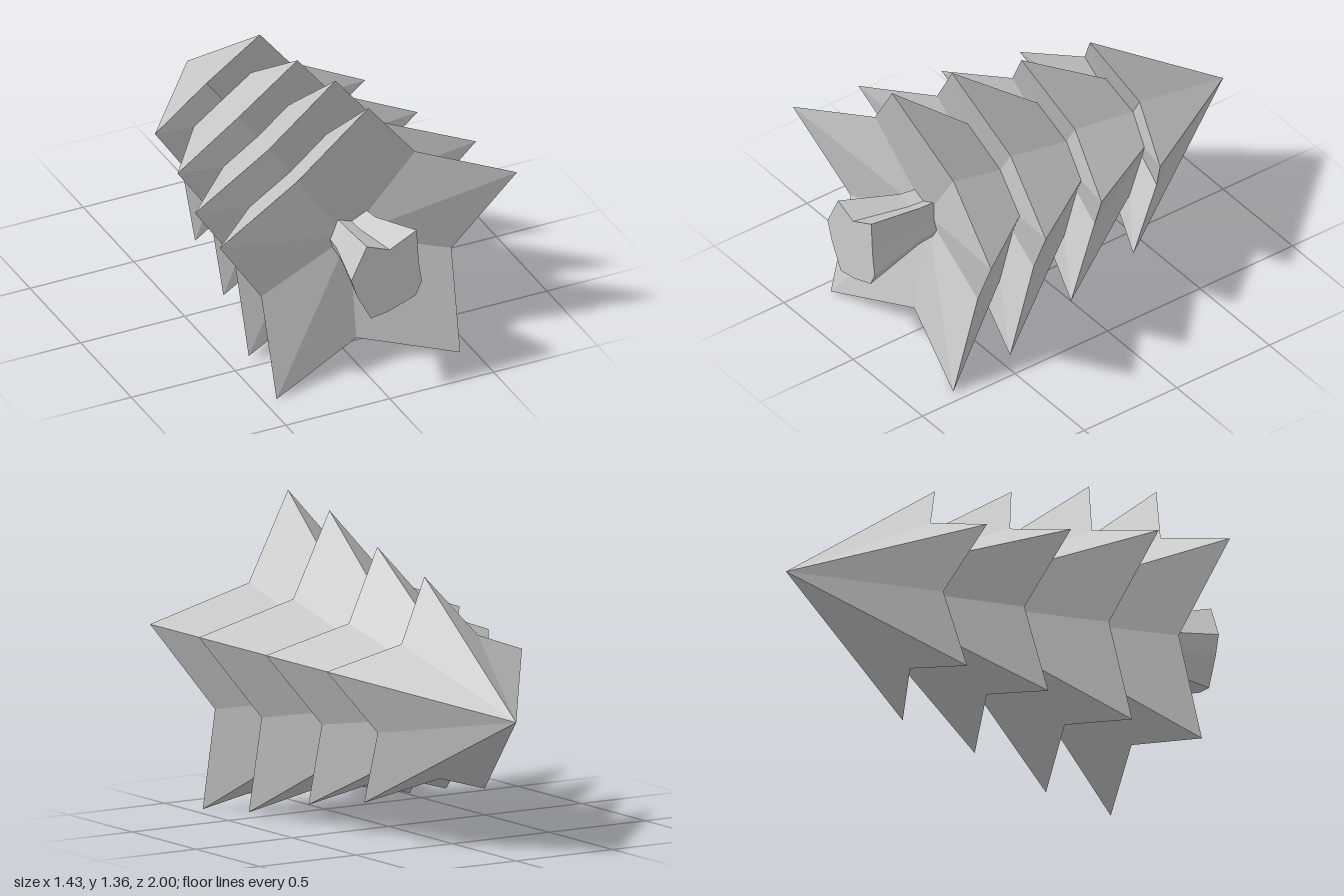
import * as THREE from 'three';

const AXIS_Y = 0.612; // height of the axis of the lying tree

// Flat-shaded mesh from a list of triangles of [x, y, z] points
function facetedMesh(name, triangles) {
  const geometry = new THREE.BufferGeometry();
  geometry.setAttribute('position', new THREE.Float32BufferAttribute(triangles.flat(2), 3));
  geometry.computeVertexNormals();
  const material = new THREE.MeshStandardMaterial({ color: 0xcccccc, flatShading: true });
  const mesh = new THREE.Mesh(geometry, material);
  mesh.name = name;
  return mesh;
}

// Triangles joining a closed ring to one point
function fan(ring, point, flip) {
  return ring.map((a, i) => {
    const b = ring[(i + 1) % ring.length];
    return flip ? [point, b, a] : [point, a, b];
  });
}

// Five-pointed star cone: drooping tips, folded underside
function branchTier(name, { apex, tipZ, tipR, innerZ, innerR }) {
  const ring = [];
  for (let i = 0; i < 10; i++) {
    const angle = Math.PI / 2 + (i * Math.PI) / 5;
    const r = i % 2 ? innerR : tipR;
    ring.push([r * Math.cos(angle), AXIS_Y + r * Math.sin(angle), i % 2 ? innerZ : tipZ]);
  }
  return facetedMesh(name, [
    ...fan(ring, [0, AXIS_Y, apex], true),
    ...fan(ring, [0, AXIS_Y, innerZ - 0.07], false),
  ]);
}

// Irregular trunk that flares towards its foot
function trunk() {
  const outline = [
    [-0.11, 0.193], [-0.185, 0.038], [-0.155, -0.052], [-0.09, -0.177], [0, -0.162],
    [0.125, -0.117], [0.155, -0.052], [0.14, 0.048], [0.13, 0.213], [0, 0.148],
  ];
  const section = (z, s) => outline.map(([x, y]) => [x * s, AXIS_Y + y * s, z]);
  const rings = [section(1, 1), section(0.7, 0.6), section(0.5, 0.5)];
  const triangles = fan(rings[0], [0, AXIS_Y, 1], false);
  for (let k = 0; k < rings.length - 1; k++) {
    outline.forEach((_, i) => {
      const j = (i + 1) % outline.length;
      const [near, far] = [rings[k], rings[k + 1]];
      triangles.push([near[i], far[i], far[j]], [near[i], far[j], near[j]]);
    });
  }
  return facetedMesh('trunk', triangles);
}

export function createModel() {
  const group = new THREE.Group();
  group.name = 'lyingTree';

  // Tiers from the trunk to the top
  const tiers = [
    { apex: -0.07, tipZ: 0.79, tipR: 0.752, innerZ: 0.67, innerR: 0.481 },
    { apex: -0.4, tipZ: 0.465, tipR: 0.711, innerZ: 0.347, innerR: 0.452 },
    { apex: -0.79, tipZ: 0.09, tipR: 0.607, innerZ: -0.03, innerR: 0.385 },
    { apex: -1, tipZ: -0.28, tipR: 0.532, innerZ: -0.4, innerR: 0.338 },
  ];
  tiers.forEach((tier, i) => group.add(branchTier(`branchTier${i + 1}`, tier)));

  group.add(trunk());
  return group;
}
